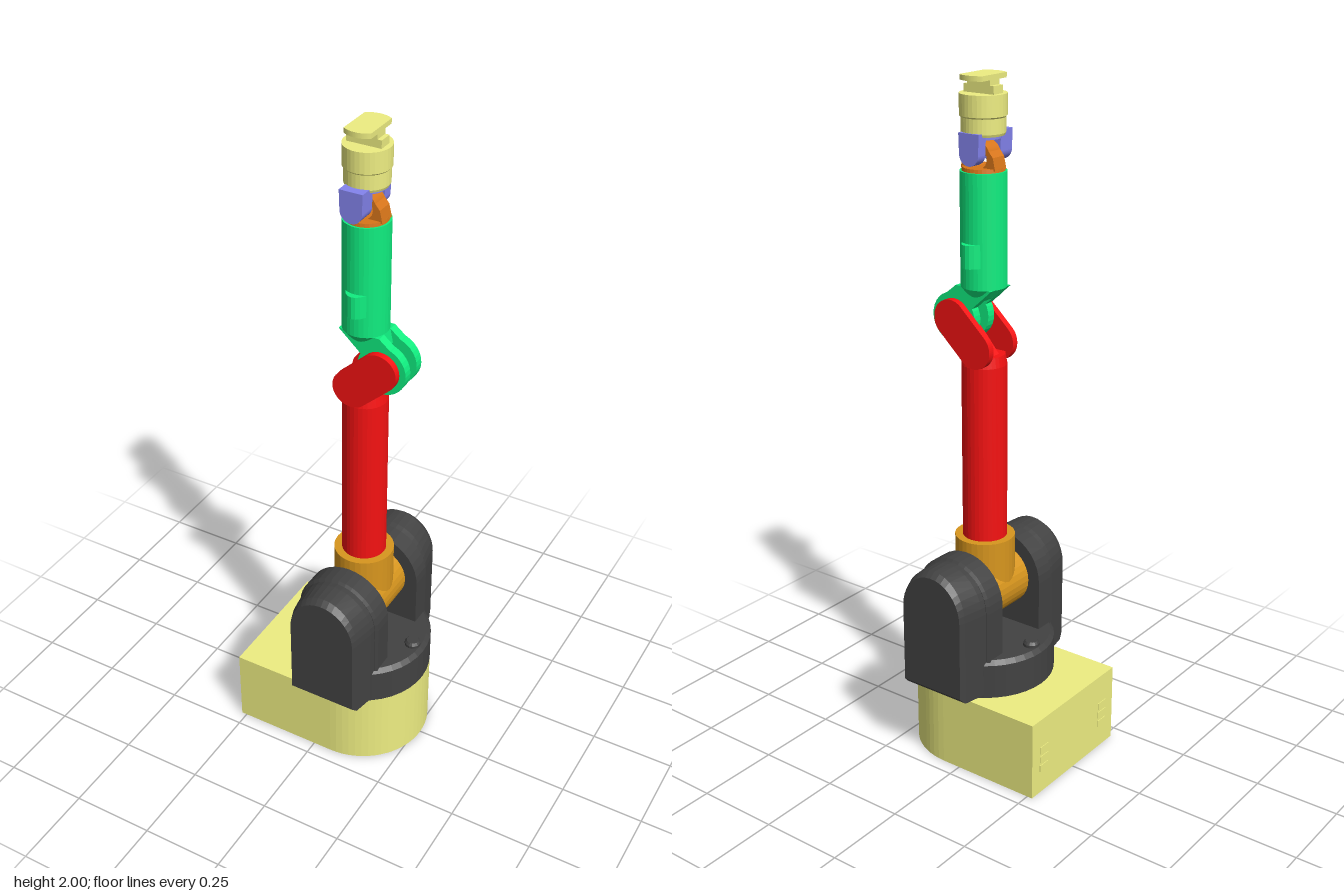
import * as THREE from 'three';

const AX = 0.058; // x of the main vertical axis
const mat = (color) => new THREE.MeshStandardMaterial({ color, flatShading: true });

export function createModel() {
  const model = new THREE.Group();
  const pale = mat(0xeeee82), dark = mat(0x424242), amber = mat(0xd8961e);
  const red = mat(0xf51212), green = mat(0x10ee80), violet = mat(0x8484ee), orange = mat(0xd8761a);

  const add = (name, geo, material, x = 0, y = 0, z = 0) => {
    const mesh = new THREE.Mesh(geo, material);
    mesh.name = name;
    mesh.position.set(x, y, z);
    model.add(mesh);
    return mesh;
  };
  const box = (name, m, x0, x1, y0, y1, z0, z1) =>
    add(name, new THREE.BoxGeometry(x1 - x0, y1 - y0, z1 - z0), m, (x0 + x1) / 2, (y0 + y1) / 2, (z0 + z1) / 2);
  // Turned part on the main axis from [radius, height] pairs
  const turned = (name, m, pts, x = AX, segs = 32) =>
    add(name, new THREE.LatheGeometry(pts.map((p) => new THREE.Vector2(...p)), segs), m, x);
  // Plate drawn in x/y between two depths
  const plate = (name, m, shape, z0, z1) =>
    add(name, new THREE.ExtrudeGeometry(shape, { depth: z1 - z0, bevelEnabled: false, curveSegments: 16 }), m, 0, 0, z0);
  const polygon = (pts) => new THREE.Shape(pts.map((p) => new THREE.Vector2(...p)));
  // Rounded bar between two centres
  const capsule = (ax, ay, bx, by, r) => {
    const t = Math.atan2(by - ay, bx - ax);
    const s = new THREE.Shape();
    s.absarc(bx, by, r, t - Math.PI / 2, t + Math.PI / 2);
    s.absarc(ax, ay, r, t + Math.PI / 2, t + Math.PI * 1.5);
    s.closePath();
    return s;
  };

  // Base: square at the back, round at the other end
  const foot = new THREE.Shape();
  foot.moveTo(-0.267, -0.207);
  foot.lineTo(AX, -0.207);
  foot.absarc(AX, 0, 0.207, -Math.PI / 2, Math.PI / 2);
  foot.lineTo(-0.267, 0.207);
  foot.closePath();
  const footGeo = new THREE.ExtrudeGeometry(foot, { depth: 0.24, bevelEnabled: false, curveSegments: 16 });
  footGeo.rotateX(-Math.PI / 2);
  add('base', footGeo, pale);
  // Connector sockets on the back of the base
  for (const z of [-0.15, 0.15])
    for (let i = 0; i < 3; i++)
      box('socket', pale, -0.269, -0.266, 0.07 + i * 0.03, 0.09 + i * 0.03, z - 0.02, z + 0.02);

  // Turntable with two lugs
  turned('turntable', dark, [[0, 0.24], [0.207, 0.24], [0.207, 0.345], [0.195, 0.358], [0, 0.358]], AX, 40);
  for (const s of [-1, 1])
    turned('turntableLug', dark, [[0.024, 0.35], [0.024, 0.366], [0.018, 0.374], [0, 0.374]], AX + s * 0.17, 16);

  // Shoulder housings: arched cross-sections [z, half width, bottom, top] joined in sequence
  const archLoft = (sections) => {
    const N = 18, spring = 0.51, pos = [], idx = [];
    for (const [z, w, b, top] of sections) {
      pos.push(-w, b, z, w, b, z);
      for (let i = 0; i <= N; i++) {
        const a = (Math.PI * i) / N;
        pos.push(w * Math.cos(a), spring + (top - spring) * Math.sin(a), z);
      }
    }
    const n = N + 3, last = (sections.length - 1) * n;
    for (let k = 0; k < last; k += n)
      for (let i = 0; i < n; i++) {
        const j = (i + 1) % n;
        idx.push(k + i, k + j, k + n + j, k + i, k + n + j, k + n + i);
      }
    for (let i = 1; i < n - 1; i++) idx.push(0, i + 1, i, last, last + i, last + i + 1);
    const g = new THREE.BufferGeometry();
    g.setAttribute('position', new THREE.Float32BufferAttribute(pos, 3));
    g.setIndex(idx);
    const flat = g.toNonIndexed();
    flat.computeVertexNormals();
    return flat;
  };
  for (const turn of [0, Math.PI]) {
    const cheek = archLoft([[0.09, 0.132, 0.25, 0.645], [0.15, 0.132, 0.25, 0.645], [0.157, 0.124, 0.25, 0.637]]);
    const cover = archLoft([[0.15, 0.123, 0.25, 0.637], [0.175, 0.121, 0.25, 0.64],
      [0.237, 0.109, 0.25, 0.64], [0.255, 0.103, 0.268, 0.625]]);
    add('shoulderCheek', cheek, dark, AX).rotation.y = turn;
    add('shoulderCover', cover, dark, AX).rotation.y = turn;
  }

  // Shoulder: cross barrel and upright collar
  add('shoulderBarrel', new THREE.CylinderGeometry(0.093, 0.093, 0.19, 32), amber, AX, 0.51).rotation.x = Math.PI / 2;
  turned('shoulderCollar', amber, [[0, 0.51], [0.088, 0.51], [0.088, 0.675], [0, 0.675]]);

  // Upper arm with forked elbow
  turned('upperArm', red, [[0, 0.66], [0.065, 0.66], [0.065, 1.2], [0.06, 1.23], [0, 1.23]]);
  for (const z of [-0.065, 0.045])
    plate('elbowFork', red, capsule(0.047, 1.255, 0.128, 1.33, 0.056), z, z + 0.02);
  plate('elbowTongue', red, polygon([[0.0, 1.21], [0.105, 1.21], [0.145, 1.29], [0.12, 1.34], [0.06, 1.28]]), -0.014, 0.014);
  add('elbowPin', new THREE.CylinderGeometry(0.03, 0.03, 0.12, 20), red, 0.13, 1.33).rotation.x = Math.PI / 2;

  // Forearm
  const elbowDisc = new THREE.Shape();
  elbowDisc.absarc(0.13, 1.33, 0.073, 0, Math.PI * 2);
  for (const z of [-0.045, 0.018]) {
    plate('elbowDisc', green, elbowDisc, z, z + 0.027);
    plate('elbowArm', green, polygon([[0, 1.425], [0.072, 1.36], [0.13, 1.33], [0.165, 1.39], [0.122, 1.425]]), z, z + 0.027);
  }
  plate('elbowBridge', green, polygon([[0, 1.425], [0.045, 1.385], [0.13, 1.385], [0.122, 1.425]]), -0.045, 0.045);
  turned('forearm', green, [[0, 1.4], [0.045, 1.4], [0.065, 1.425], [0.065, 1.745], [0, 1.745]]);
  const padGeo = new THREE.CylinderGeometry(1, 1, 0.065, 24);
  padGeo.scale(0.043, 1, 0.083);
  add('forearmPads', padGeo, green, AX, 1.52);

  // Wrist: arched bracket inside a fork
  turned('wristFlange', orange, [[0, 1.74], [0.06, 1.74], [0.058, 1.755], [0, 1.755]]);
  const arch = new THREE.Shape();
  arch.moveTo(AX + 0.058, 1.75);
  arch.lineTo(AX + 0.05, 1.785);
  arch.absarc(AX, 1.785, 0.04, 0.4, Math.PI - 0.4);
  arch.lineTo(AX - 0.05, 1.785);
  arch.lineTo(AX - 0.058, 1.75);
  const gap = new THREE.Path();
  gap.absarc(AX, 1.78, 0.03, 0, Math.PI * 2);
  arch.holes.push(gap);
  plate('wristBracket', orange, arch, -0.025, 0.025);
  add('wristPin', new THREE.CylinderGeometry(0.014, 0.014, 0.12, 16), orange, AX, 1.795).rotation.x = Math.PI / 2;
  const prong = new THREE.Shape();
  prong.moveTo(AX + 0.034, 1.85);
  prong.lineTo(AX - 0.034, 1.85);
  prong.absarc(AX, 1.795, 0.032, Math.PI, Math.PI * 2);
  plate('wristFork', violet, prong, 0.033, 0.085);
  plate('wristFork', violet, prong, -0.065, -0.033);
  turned('wristForkPlate', violet, [[0, 1.832], [0.05, 1.832], [0.05, 1.845], [0, 1.845]]);

  // Hand drum, tool stem and tool plate
  turned('handDrum', pale, [[0, 1.84], [0.058, 1.84], [0.061, 1.847], [0.061, 1.888], [0.065, 1.892],
    [0.065, 1.95], [0, 1.95]]);
  box('toolStem', pale, 0.008, 0.108, 1.945, 1.972, -0.02, 0.02);
  box('toolNeck', pale, 0.02, 0.096, 1.965, 1.99, -0.02, 0.02);
  const disc = new THREE.Shape();
  const a = Math.acos(0.038 / 0.065);
  disc.absarc(0, 0, 0.065, a, Math.PI - a);
  disc.absarc(0, 0, 0.065, Math.PI + a, Math.PI * 2 - a);
  disc.closePath();
  const discGeo = new THREE.ExtrudeGeometry(disc, { depth: 0.014, bevelEnabled: false, curveSegments: 12 });
  discGeo.rotateX(-Math.PI / 2);
  add('toolPlate', discGeo, pale, AX, 1.986);

  return model;
}
